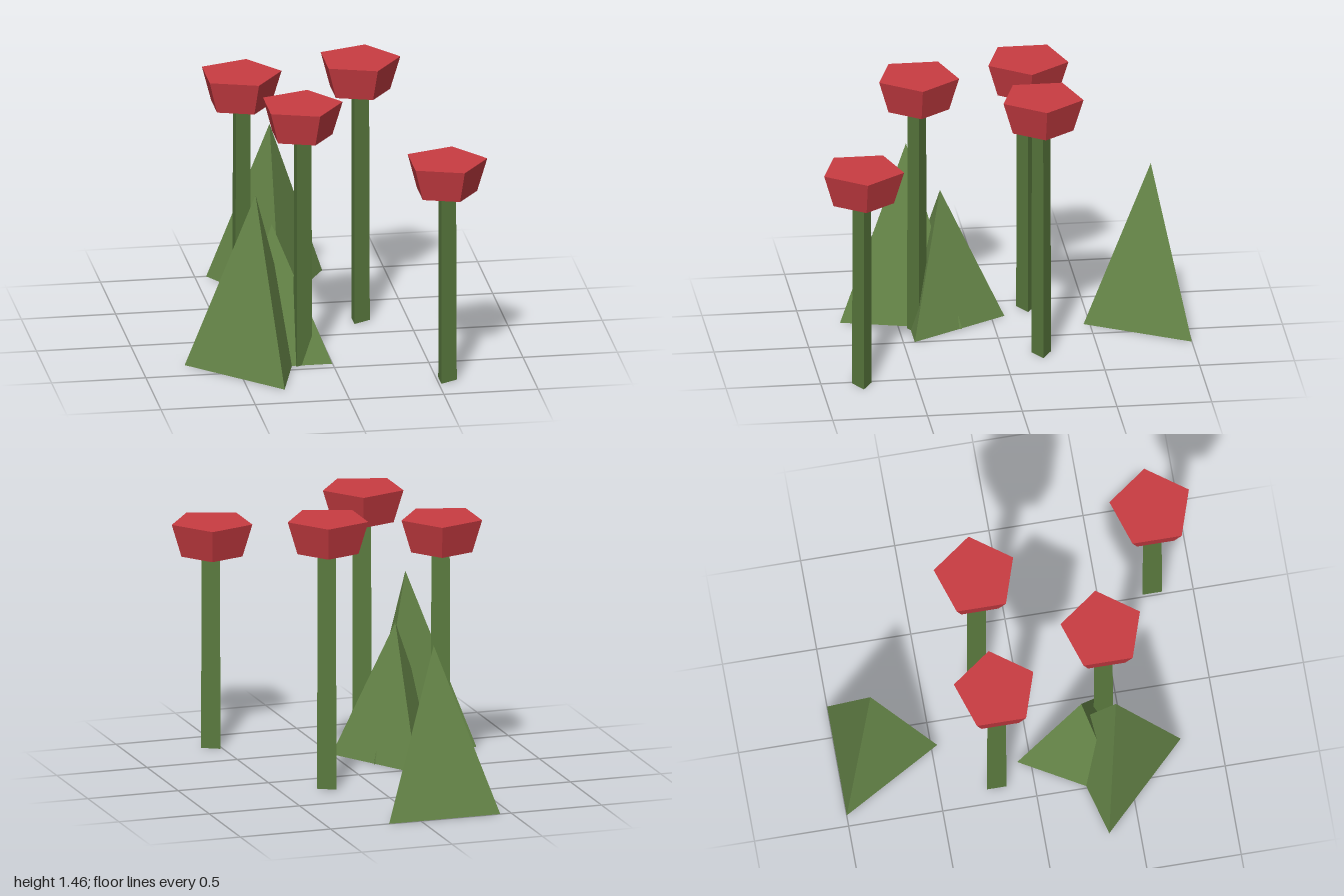
import * as THREE from 'three';

const material = (color) => new THREE.MeshStandardMaterial({ color, flatShading: true, side: THREE.DoubleSide });
const red = material(0xc83c42);
const stemGreen = material(0x5a7a3e);
const leafGreen = material(0x678749);

// Open-bottomed prism or pyramid whose first corner points along the given angle (0 = +z)
function shell(name, rTop, rBottom, y0, y1, sides, angle, mat) {
  const geometry = new THREE.CylinderGeometry(rTop, rBottom, y1 - y0, sides, 1, true, angle);
  geometry.translate(0, (y0 + y1) / 2, 0);
  const mesh = new THREE.Mesh(geometry, mat);
  mesh.name = name;
  return mesh;
}

// Three-sided stem carrying a flared five-sided blossom with a flat lid
function flower(x, z, top) {
  const group = new THREE.Group();
  group.name = 'flower';
  group.position.set(x, 0, z);
  group.add(shell('stem', 0.056, 0.06, 0, top - 0.01, 3, Math.PI / 2, stemGreen));
  group.add(shell('blossom', 0.222, 0.168, top - 0.177, top, 5, Math.PI / 2, red));

  const lid = new THREE.Mesh(new THREE.CircleGeometry(0.222, 5).rotateX(-Math.PI / 2), red);
  lid.name = 'blossomTop';
  lid.position.y = top;
  group.add(lid);
  return group;
}

// Pointed three-sided leaf tuft
function tuft(x, z, radius, height, angle) {
  const mesh = shell('leafTuft', 0, radius, 0, height, 3, angle, leafGreen);
  mesh.position.set(x, 0, z);
  return mesh;
}

export function createModel() {
  const model = new THREE.Group();
  model.name = 'flowerPatch';

  const flowers = [[0.24, -0.2, 1.457], [-0.39, -0.2, 1.412], [-0.163, 0.405, 1.442], [0.543, 0.785, 1.222]];
  for (const f of flowers) model.add(flower(...f));

  const tufts = [
    [-0.132, -0.822, 0.355, 0.895, 0],
    [-0.408, 0.435, 0.373, 0.96, Math.PI / 12],
    [-0.296, 0.27, 0.34, 0.732, Math.PI],
  ];
  for (const t of tufts) model.add(tuft(...t));

  return model;
}
